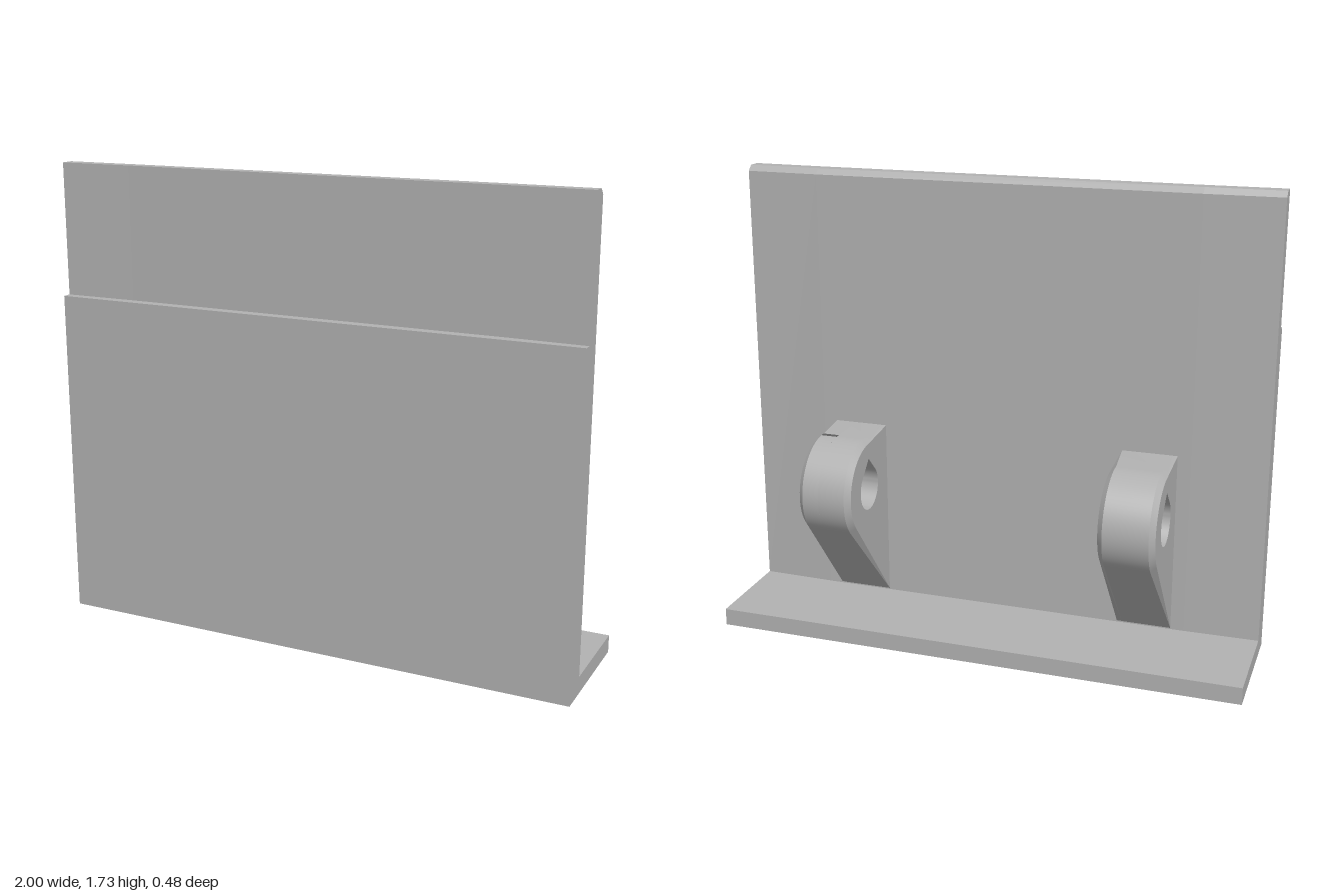
import * as THREE from 'three';
import { toCreasedNormals } from 'three/addons/utils/BufferGeometryUtils.js';

const grey = new THREE.MeshStandardMaterial({ color: 0xb2b2b2 });
grey.name = 'plain grey';

const SEG = 28;
const HALF = 0.103;      // half thickness of a lug
const LUG_R = 0.195;     // round end of a lug
const FACE_R = 0.175;    // round end after the chamfer
const HOLE_R = 0.083;
const POCKET_R = 0.145;  // counterbore
const STEP = 0.02;       // floor of the counterbore
const FOOT = [-0.18, -0.495], HEAD = [-0.18, 0.195]; // corners on the wall

const polar = (r, a) => [r * Math.cos(a), r * Math.sin(a)];
const arc = (r, a, b, n = SEG) =>
  Array.from({ length: n + 1 }, (_, i) => polar(r, a + (b - a) * i / n));

// Angle at which a line from p touches a circle of radius r
function tangent(p, r, side) {
  return Math.atan2(p[1], p[0]) + side * Math.acos(Math.min(1, r / Math.hypot(...p)));
}

// Crossing of two lines given by normal angle and distance
function cross(a, r, b, s) {
  const d = Math.sin(b - a);
  return [(r * Math.sin(b) - s * Math.sin(a)) / d, (s * Math.cos(a) - r * Math.cos(b)) / d];
}

// Lug side outline: wall corners joined to a round end
const outline = r => [FOOT, ...arc(r, tangent(FOOT, r, 1), tangent(HEAD, r, -1)), HEAD];

// The same outline with the counterbore breaking out at the top
function notchedOutline(r) {
  const end = Math.PI / 4 + Math.acos(POCKET_R / r);
  return [
    FOOT, ...arc(r, tangent(FOOT, r, 1), end),
    ...arc(POCKET_R, Math.PI / 4, -Math.PI * 5 / 4, 40),
    cross(tangent(HEAD, r, -1), r, Math.PI * 3 / 4, POCKET_R), HEAD,
  ];
}

// Teardrop, optionally cut flat at height top
function teardrop(r, top) {
  const apex = r * Math.SQRT2;
  const tip = top ? [[apex - top, top], [top - apex, top]] : [[0, apex]];
  return [...tip, ...arc(r, Math.PI * 3 / 4, Math.PI * 9 / 4, 40)];
}

function lugGeometry(pocket) {
  const pos = [];
  const strip = (A, wa, B, wb) => A.forEach((a, i) => {
    const j = (i + 1) % A.length;
    const a2 = A[j], b = B[i], b2 = B[j];
    pos.push(...a, wa, ...a2, wa, ...b2, wb, ...a, wa, ...b2, wb, ...b, wb);
  });
  const cap = (loop, holes, w, dir) => {
    const v = l => l.map(p => new THREE.Vector2(...p));
    const pts = [loop, ...holes].flat();
    for (const t of THREE.ShapeUtils.triangulateShape(v(loop), holes.map(v))) {
      const area = THREE.ShapeUtils.area(v(t.map(i => pts[i])));
      if (area * dir < 0) t.reverse();
      t.forEach(i => pos.push(...pts[i], w));
    }
  };
  const full = outline(LUG_R), face = outline(FACE_R);
  const hole = teardrop(HOLE_R), bore = [...hole].reverse();
  const edge = HALF - 0.02;

  cap(face, [bore], -HALF, -1);
  strip(face, -HALF, full, -edge);
  strip(full, -edge, full, pocket ? STEP : edge);
  strip(bore, -HALF, bore, pocket ? STEP : HALF);
  if (pocket) {
    const open = notchedOutline(LUG_R), openFace = notchedOutline(FACE_R);
    cap(teardrop(POCKET_R, LUG_R), [bore], STEP, 1);
    strip(open, STEP, open, edge);
    strip(open, edge, openFace, HALF);
    cap(openFace, [], HALF, 1);
  } else {
    strip(full, edge, face, HALF);
    cap(face, [bore], HALF, 1);
  }
  const geo = new THREE.BufferGeometry();
  geo.setAttribute('position', new THREE.Float32BufferAttribute(pos, 3));
  geo.rotateY(Math.PI / 2);
  return toCreasedNormals(geo, 0.3);
}

// Stepped wall and shelf as one L section, very slightly bowed in the middle
function panelGeometry() {
  const section = [
    [-0.24, 0], [0.24, 0], [0.24, 0.065], [-0.137, 0.065], [-0.137, 1.705],
    [-0.157, 1.725], [-0.207, 1.725], [-0.207, 1.235], [-0.24, 1.235],
  ];
  const shape = new THREE.Shape(section.map(p => new THREE.Vector2(...p)));
  const geo = new THREE.ExtrudeGeometry(shape, { depth: 2, steps: 3, bevelEnabled: false });
  geo.translate(0, 0, -1).rotateY(Math.PI / 2);
  const p = geo.attributes.position;
  for (let i = 0; i < p.count; i++) {
    if (Math.abs(p.getX(i)) > 0.9) continue;
    p.setX(i, Math.sign(p.getX(i)) * 0.72);
    if (p.getZ(i) > 0.1 && p.getZ(i) < 0.22) p.setZ(i, p.getZ(i) - 0.006);
  }
  geo.computeVertexNormals();
  return geo;
}

export function createModel() {
  const model = new THREE.Group();
  model.name = 'hingePanel';
  const add = (name, geo) => {
    const mesh = new THREE.Mesh(geo, grey);
    mesh.name = name;
    model.add(mesh);
    return mesh;
  };
  add('wallAndShelf', panelGeometry());
  // Pivot lugs; only the left one has a counterbore
  add('leftLug', lugGeometry(true)).position.set(0.568, 0.56, -0.045);
  add('rightLug', lugGeometry(false)).position.set(-0.568, 0.56, -0.045);
  return model;
}
